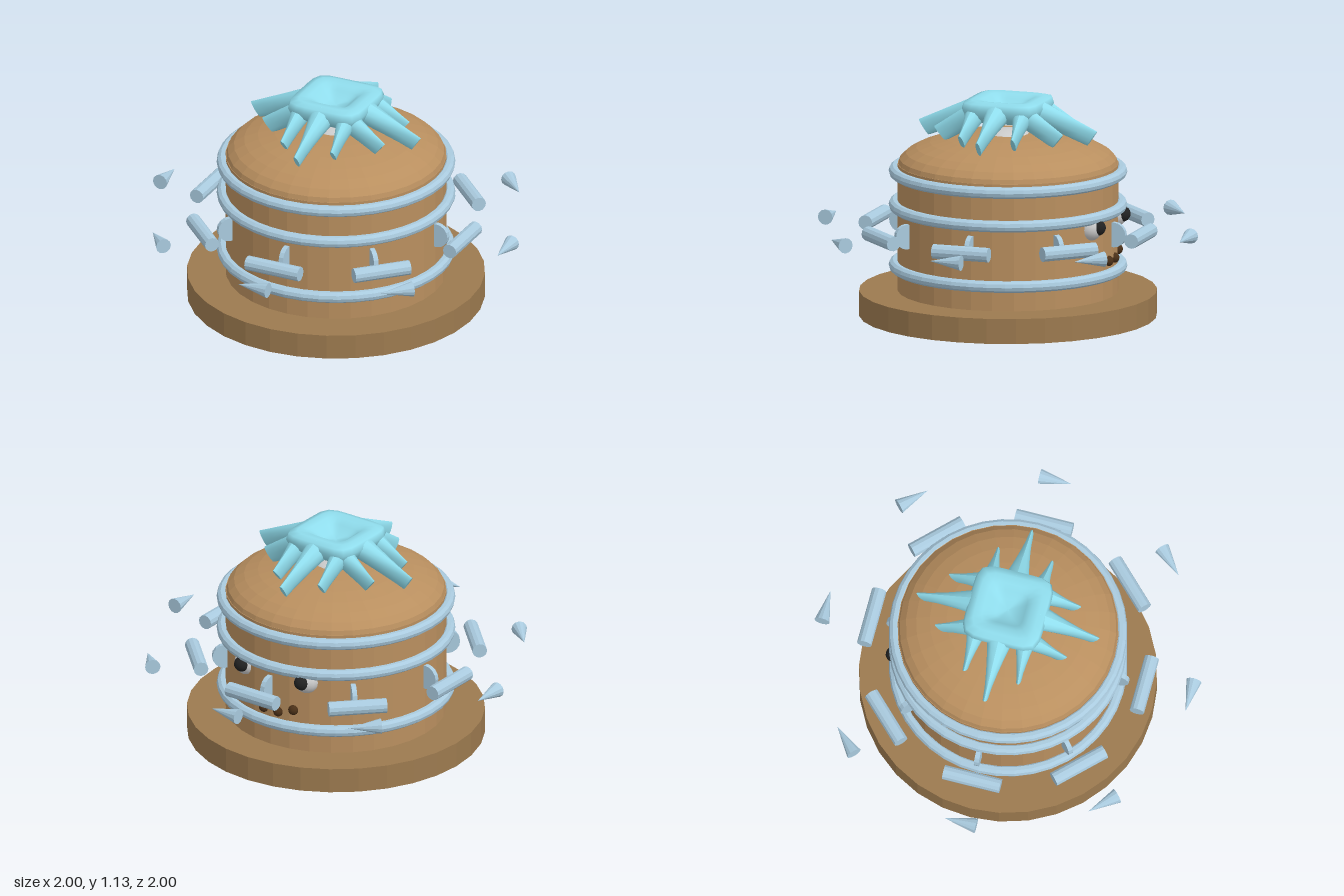
import * as THREE from 'three';

const mat = (color, flat = true) =>
  new THREE.MeshStandardMaterial({ color, flatShading: flat, side: THREE.DoubleSide });
const wood = mat(0xb98f5f), darkWood = mat(0x9c7a4f), steel = mat(0xa9cade);
const cyan = mat(0x8fdcec, false), white = mat(0xf2f2f2, false);
const black = mat(0x222222, false), brown = mat(0x4a3018, false);

function add(parent, name, geometry, material, x = 0, y = 0, z = 0) {
  const mesh = new THREE.Mesh(geometry, material);
  mesh.name = name;
  mesh.position.set(x, y, z);
  parent.add(mesh);
  return mesh;
}

// Blade-like spike along +z: keeps its height, narrows in a concave curve
function spikeGeometry(rootTop, rootBottom, tipTop, tipBottom, rootWidth) {
  const geo = new THREE.CylinderGeometry(1, 1, 1, 12, 5);
  const p = geo.attributes.position;
  for (let i = 0; i < p.count; i++) {
    const t = p.getY(i) + 0.5;
    const up = p.getZ(i) / 2 + 0.5;
    const width = 0.012 + (rootWidth - 0.012) * Math.pow(1 - t, 1.4);
    const at = (k) => THREE.MathUtils.lerp(
      THREE.MathUtils.lerp(rootBottom[k], rootTop[k], up),
      THREE.MathUtils.lerp(tipBottom[k], tipTop[k], up), t);
    p.setXYZ(i, p.getX(i) * width, at(1), at(0));
  }
  geo.computeVertexNormals();
  return geo;
}

// Puffy rounded square with a dent in the middle, lofted from square rings
function cushionGeometry() {
  const rings = [[0.01, 1.02], [0.15, 1.02], [0.19, 1.05], [0.205, 1.09], [0.195, 1.122],
    [0.16, 1.132], [0.12, 1.126], [0.09, 1.105], [0.055, 1.075], [0.005, 1.07]];
  const n = 32, pos = [], idx = [];
  rings.forEach(([r, y], j) => {
    for (let i = 0; i < n; i++) {
      const a = (i / n) * Math.PI * 2, c = Math.cos(a), s = Math.sin(a);
      const k = r / Math.pow(c ** 6 + s ** 6, 1 / 6);
      pos.push(c * k, y, s * k);
      if (j === 0) continue;
      const b = (j - 1) * n, q = (i + 1) % n;
      idx.push(b + i, b + n + i, b + q, b + q, b + n + i, b + n + q);
    }
  });
  const geo = new THREE.BufferGeometry();
  geo.setAttribute('position', new THREE.Float32BufferAttribute(pos, 3));
  geo.setIndex(idx);
  geo.computeVertexNormals();
  return geo;
}

export function createModel() {
  const model = new THREE.Group();
  model.name = 'spikedDrum';

  // Base, drum and domed lid
  add(model, 'base', new THREE.CylinderGeometry(0.762, 0.762, 0.13, 32), darkWood, 0, 0.065);
  add(model, 'drum', new THREE.CylinderGeometry(0.565, 0.565, 0.66, 32), wood, 0, 0.46);
  const dome = add(model, 'domedLid',
    new THREE.SphereGeometry(0.565, 32, 8, 0, Math.PI * 2, 0, Math.PI / 2), wood, 0, 0.78);
  dome.scale.y = 0.3;

  // Hoops around the drum
  const hoop = new THREE.TorusGeometry(0.58, 0.03, 10, 40);
  for (const y of [0.26, 0.575, 0.75]) {
    add(model, 'hoop', hoop, steel, 0, y).rotation.x = Math.PI / 2;
  }

  // Eight stations: lug on the drum, floating bar and floating cone
  const lug = new THREE.CylinderGeometry(0.065, 0.065, 0.025, 16).rotateZ(Math.PI / 2);
  const bar = new THREE.CylinderGeometry(0.038, 0.038, 0.3, 12).rotateZ(Math.PI / 2);
  const cone = new THREE.ConeGeometry(0.04, 0.17, 12).rotateZ(Math.PI / 2);
  for (let i = 0; i < 8; i++) {
    const station = new THREE.Group();
    station.name = 'station';
    station.rotation.y = (i * Math.PI) / 4;
    add(station, 'lug', lug, steel, 0, 0.455, 0.575);
    add(station, 'bar', bar, steel, 0, 0.457, 0.72);
    add(station, 'cone', cone, steel, 0, 0.457, 0.96);
    model.add(station);
  }

  // Face on the rear side
  for (const s of [-1, 1]) {
    add(model, 'eye', new THREE.SphereGeometry(0.065, 16, 12), white, s * 0.19, 0.52, -0.51);
    add(model, 'pupil', new THREE.SphereGeometry(0.04, 16, 12), black, s * 0.19, 0.525, -0.555);
    for (const [x, y, z] of [[0.045, 0.325, -0.56], [0.132, 0.352, -0.548]]) {
      add(model, 'mouthDot', new THREE.SphereGeometry(0.027, 12, 8), brown, s * x, y, z);
    }
  }

  // Top ornament: cushion with three spikes on each of four sides
  const crown = new THREE.Group();
  crown.name = 'crown';
  add(crown, 'knob', new THREE.SphereGeometry(0.12, 20, 10), white, 0, 0.93).scale.y = 0.33;
  add(crown, 'cushion', cushionGeometry(), cyan);
  const midSpike = spikeGeometry([0.17, 1.13], [0.1, 1.03], [0.483, 0.985], [0.43, 0.908], 0.075);
  const sideSpike = spikeGeometry([0.15, 1.12], [0.08, 1.03], [0.35, 0.985], [0.29, 0.912], 0.062);
  for (let i = 0; i < 4; i++) {
    const side = new THREE.Group();
    side.name = 'spikeSet';
    side.rotation.y = (i * Math.PI) / 2;
    add(side, 'middleSpike', midSpike, cyan);
    for (const s of [-1, 1]) {
      add(side, 'sideSpike', sideSpike, cyan, s * 0.118).rotation.y = s * 0.07;
    }
    crown.add(side);
  }
  model.add(crown);
  return model;
}
